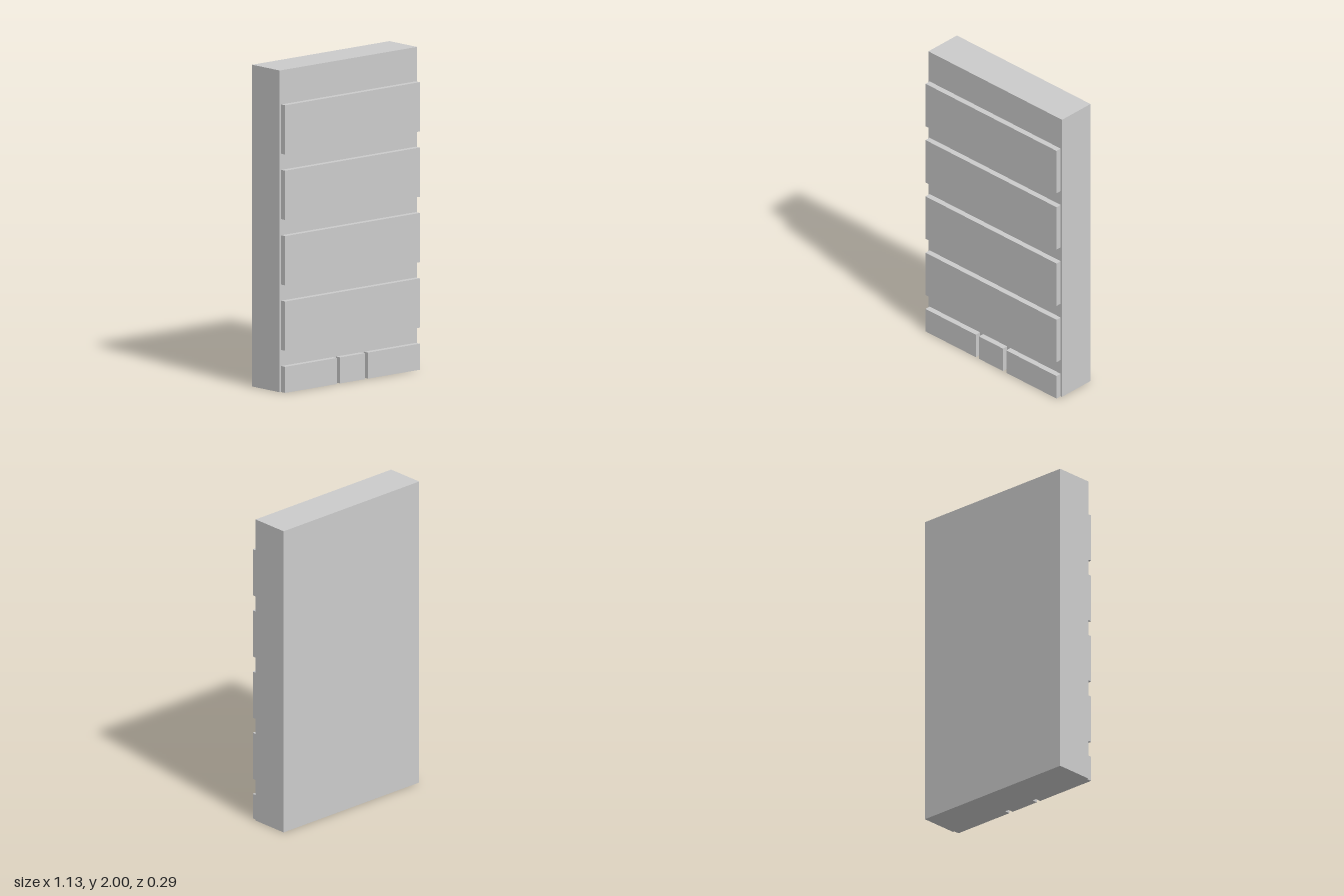
import * as THREE from 'three';

const material = new THREE.MeshStandardMaterial({ color: 0xcccccc, flatShading: true });

// Box given by its minimum and maximum on each axis
function addBox(parent, name, [x0, x1], [y0, y1], [z0, z1]) {
  const mesh = new THREE.Mesh(new THREE.BoxGeometry(x1 - x0, y1 - y0, z1 - z0), material);
  mesh.position.set((x0 + x1) / 2, (y0 + y1) / 2, (z0 + z1) / 2);
  mesh.name = name;
  parent.add(mesh);
}

export function createModel() {
  const model = new THREE.Group();
  model.name = 'buildingFacade';
  const front = 0.107, proud = 0.144;
  const relief = [front, proud];

  // Main slab
  addBox(model, 'buildingBody', [-0.565, 0.565], [0, 2], [-0.144, front]);

  // Four wide window bands, evenly stacked
  for (let i = 0; i < 4; i++) {
    const y = 0.262 + i * 0.4065;
    addBox(model, `windowBand${i + 1}`, [-0.554, 0.554], [y, y + 0.306], relief);
  }

  // Ground floor: door between two shop windows
  addBox(model, 'door', [-0.101, 0.101], [0, 0.162], relief);
  addBox(model, 'shopWindowRight', [-0.554, -0.129], [0, 0.162], relief);
  addBox(model, 'shopWindowLeft', [0.129, 0.554], [0, 0.162], relief);

  return model;
}
